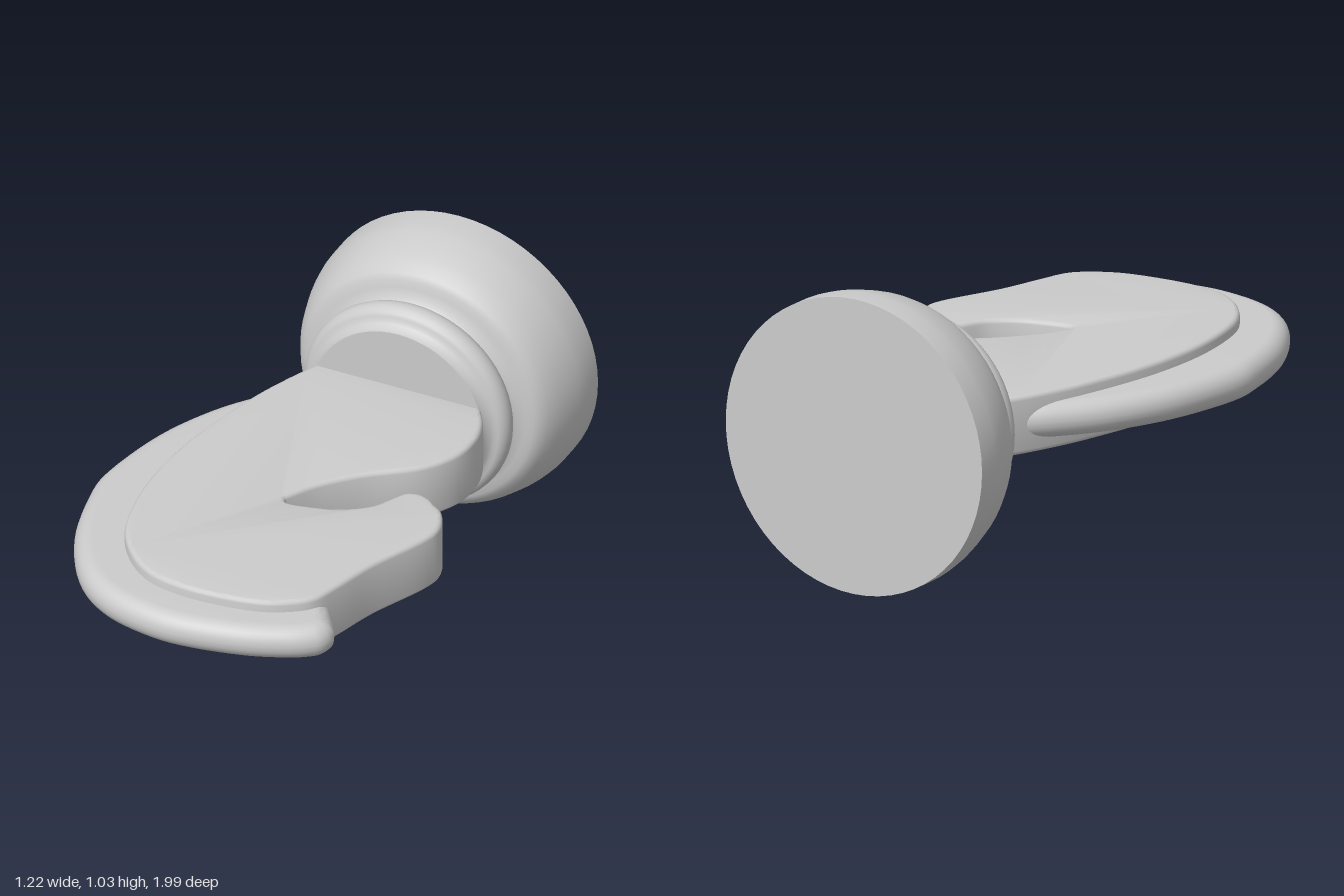
import * as THREE from 'three';
import { toCreasedNormals } from 'three/addons/utils/BufferGeometryUtils.js';

const CX = 0.09, CY = 0.52;
const material = new THREE.MeshStandardMaterial({ color: 0xcccccc });

function addMesh(group, name, geometry, crease) {
  const mesh = new THREE.Mesh(toCreasedNormals(geometry, crease), material);
  mesh.name = name;
  group.add(mesh);
}

// Horizontal slab from an [x, z] outline: a smooth curve, then straight corners
function slab(curve, corners, height, bevel, offset, segments) {
  const pts = curve.map(([x, z]) => new THREE.Vector2(x, -z));
  const shape = new THREE.Shape();
  shape.moveTo(pts[0].x, pts[0].y);
  shape.splineThru(pts.slice(1));
  corners.forEach(([x, z]) => shape.lineTo(x, -z));
  shape.closePath();
  const depth = height - 2 * bevel;
  const geo = new THREE.ExtrudeGeometry(shape, {
    depth, curveSegments: 5, bevelThickness: bevel, bevelSize: bevel,
    bevelOffset: offset, bevelSegments: segments,
  });
  geo.translate(0, 0, -depth / 2);
  geo.rotateX(-Math.PI / 2);
  geo.translate(0, CY, 0);
  return geo;
}

export function createModel() {
  const group = new THREE.Group();

  // Round mount: [radius, z] profile from the flat back to the neck face
  const profile = [
    [0, -1], [0.515, -1], [0.515, -0.92], [0.508, -0.875], [0.496, -0.83], [0.48, -0.78],
    [0.46, -0.74], [0.44, -0.715], [0.42, -0.704], [0.395, -0.699], [0.365, -0.69],
    [0.345, -0.675], [0.335, -0.66],
  ];
  // Rounded collar bead
  for (let i = 0; i <= 10; i++) {
    const a = Math.PI * i / 10;
    profile.push([0.338 + 0.042 * Math.sin(a), -0.622 - 0.047 * Math.cos(a)]);
  }
  profile.push([0.33, -0.567], [0.318, -0.555], [0.314, -0.54], [0, -0.54]);
  const mount = new THREE.LatheGeometry(profile.map(([r, z]) => new THREE.Vector2(r, z)), 64);
  mount.rotateX(Math.PI / 2);
  mount.translate(CX, CY, 0);
  addMesh(group, 'roundMount', mount, 0.75);

  // Flat hook plate with a throat and pointed tip
  const plate = [
    [0.39, -0.55], [0.435, -0.475], [0.458, -0.38], [0.445, -0.26], [0.37, -0.14],
    [0.22, -0.02], [0.11, 0.1], [0.05, 0.2], [0.045, 0.225], [0.065, 0.24], [0.13, 0.23],
    [0.23, 0.2], [0.32, 0.135], [0.365, 0.055], [0.39, 0.015], [0.435, 0], [0.48, 0.015],
    [0.505, 0.035], [0.55, 0.07], [0.585, 0.155], [0.57, 0.25], [0.485, 0.45], [0.435, 0.62],
    [0.4, 0.72], [0.335, 0.78], [0.24, 0.825], [0.1, 0.848], [-0.04, 0.85], [-0.17, 0.82],
    [-0.28, 0.735], [-0.365, 0.6], [-0.408, 0.4], [-0.415, 0.2], [-0.39, -0.02],
    [-0.33, -0.27], [-0.27, -0.44], [-0.22, -0.55],
  ];
  addMesh(group, 'hookPlate', slab(plate, [[-0.2, -0.59], [0.37, -0.59]], 0.205, 0.016, -0.016, 3), 0.7);

  // Thinner rounded rim wrapping the outer curve; its inner side is buried in the plate
  const rim = [
    [-0.19, -0.455], [-0.28, -0.37], [-0.4, -0.21], [-0.495, 0], [-0.548, 0.25], [-0.54, 0.39],
    [-0.485, 0.6], [-0.38, 0.785], [-0.255, 0.885], [-0.09, 0.93], [0.05, 0.93],
    [0.23, 0.895], [0.36, 0.845], [0.42, 0.808], [0.433, 0.79], [0.427, 0.772], [0.368, 0.68],
  ];
  const buried = [[0.2, 0.6], [0, 0.65], [-0.2, 0.5], [-0.25, 0.2], [-0.2, -0.1], [-0.1, -0.4]];
  addMesh(group, 'outerRim', slab(rim, buried, 0.124, 0.06, 0, 8), 0.7);

  return group;
}
